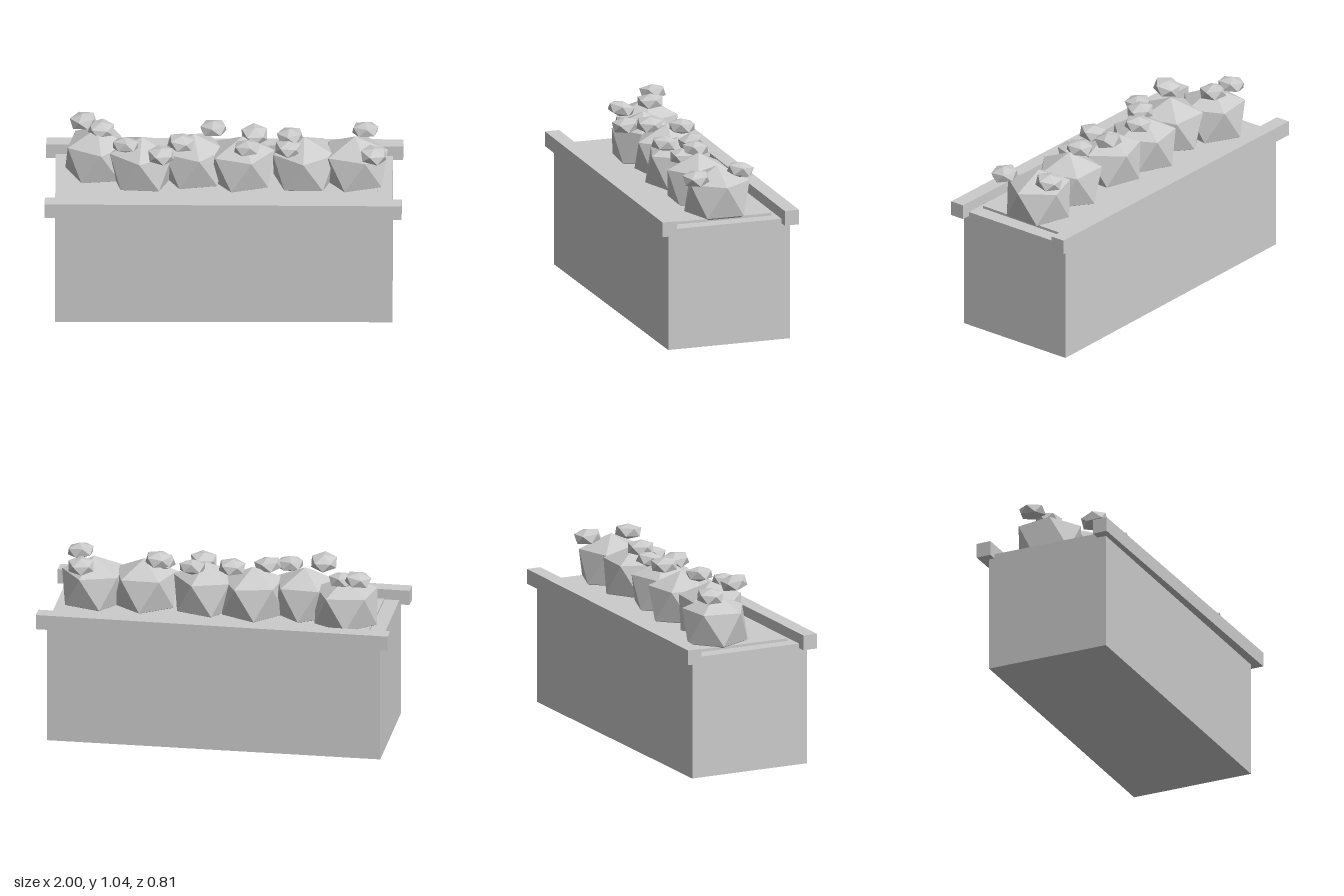
import * as THREE from 'three';

const material = new THREE.MeshStandardMaterial({ color: 0xcccccc, flatShading: true });

// Twenty-sided lump standing on a corner, with slightly blunted top and bottom
function lumpGeometry(width, height) {
  const geo = new THREE.IcosahedronGeometry(1, 0);
  geo.rotateZ(Math.atan(2 / (1 + Math.sqrt(5))));
  const pos = geo.attributes.position;
  for (let i = 0; i < pos.count; i++) {
    if (Math.abs(pos.getY(i)) > 0.9) pos.setY(i, pos.getY(i) * 0.87);
  }
  geo.scale(width, height, width);
  geo.computeVertexNormals();
  return geo;
}

function addMesh(parent, name, geo, x, y, z) {
  const mesh = new THREE.Mesh(geo, material);
  mesh.name = name;
  mesh.position.set(x, y, z);
  parent.add(mesh);
  return mesh;
}

export function createModel() {
  const model = new THREE.Group();
  model.name = 'flowerPlanter';

  // Planter body, set very slightly askew
  const body = addMesh(model, 'planterBox', new THREE.BoxGeometry(1.89, 0.7, 0.725), 0, 0.35, 0);
  body.rotation.y = 0.01;

  // Soil bed just above the box top
  addMesh(model, 'soil', new THREE.BoxGeometry(1.72, 0.08, 0.58), 0, 0.675, 0);

  // Long rails along front and back
  for (const side of [1, -1]) {
    addMesh(model, side > 0 ? 'frontRail' : 'backRail',
      new THREE.BoxGeometry(2, 0.085, 0.085), 0, 0.7175, side * 0.3625);
  }

  // Row of bushes: x, z, turn
  const bushes = new THREE.Group();
  bushes.name = 'bushes';
  model.add(bushes);
  const bushGeo = lumpGeometry(0.205, 0.2);
  [
    [-0.71, -0.09, 0.44],
    [-0.46, 0.01, 0.25],
    [-0.17, -0.03, 0.5],
    [0.1, 0, Math.PI],
    [0.45, 0, 0.3],
    [0.735, -0.01, Math.PI],
  ].forEach(([x, z, turn]) => {
    addMesh(bushes, 'bush', bushGeo, x, 0.81, z).rotation.y = turn;
  });

  // Blossoms scattered over the bushes: x, y, z
  const blossoms = new THREE.Group();
  blossoms.name = 'blossoms';
  model.add(blossoms);
  const blossomGeo = lumpGeometry(0.083, 0.05);
  [
    [-0.79, 0.995, -0.16],
    [-0.69, 0.97, -0.11],
    [-0.55, 0.985, 0.11],
    [-0.35, 0.945, 0.155],
    [-0.24, 0.97, 0.05],
    [-0.06, 0.995, -0.08],
    [0.17, 0.97, -0.055],
    [0.13, 0.96, 0.09],
    [0.37, 0.985, -0.01],
    [0.36, 0.945, 0.06],
    [0.79, 0.965, -0.13],
    [0.84, 0.95, 0.15],
  ].forEach(([x, y, z], i) => {
    const blossom = addMesh(blossoms, 'blossom', blossomGeo, x, y, z);
    blossom.rotation.set(0.12 * Math.sin(i * 2.3), i * 0.8, 0.12 * Math.cos(i * 1.7));
  });

  return model;
}
